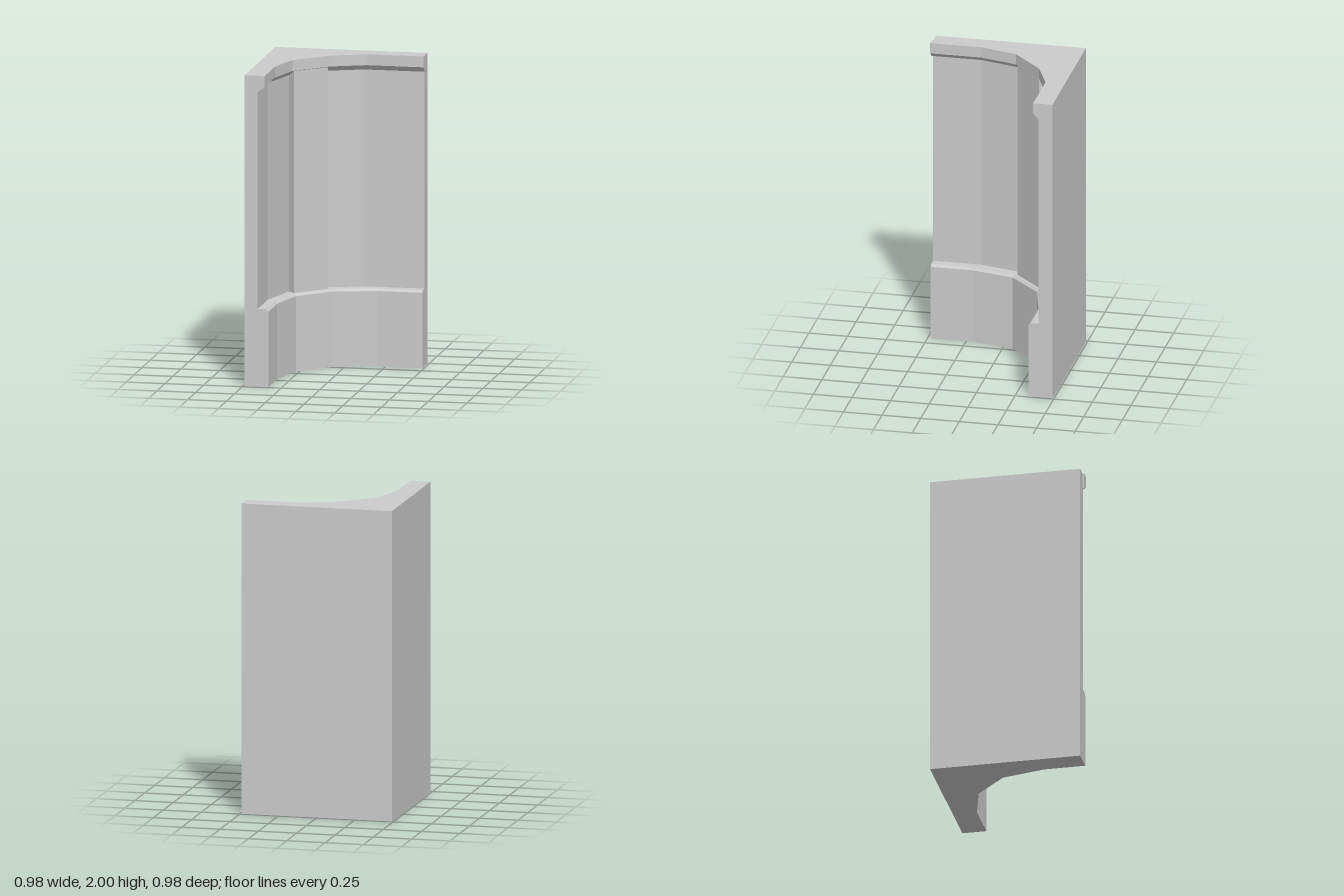
import * as THREE from 'three';

const material = new THREE.MeshStandardMaterial({ color: 0xcccccc, flatShading: true });

// Closed solid through stacked outlines: layers = [[y, [[x, z], ...]], ...] from bottom to top
function loft(name, layers) {
  const rings = layers.map(([y, pts]) => {
    const ring = pts.map(([x, z]) => new THREE.Vector2(x, -z));
    if (THREE.ShapeUtils.isClockWise(ring)) ring.reverse();
    return { y, ring };
  });
  const pos = [];
  const put = (r, i) => pos.push(r.ring[i].x, r.y, -r.ring[i].y);
  for (let k = 0; k + 1 < rings.length; k++) {
    const lo = rings[k], hi = rings[k + 1], n = lo.ring.length;
    for (let i = 0; i < n; i++) {
      const j = (i + 1) % n;
      put(lo, i); put(lo, j); put(hi, j);
      put(lo, i); put(hi, j); put(hi, i);
    }
  }
  const bottom = rings[0], top = rings[rings.length - 1];
  for (const [a, b, c] of THREE.ShapeUtils.triangulateShape(top.ring, [])) {
    put(top, a); put(top, b); put(top, c);
  }
  for (const [a, b, c] of THREE.ShapeUtils.triangulateShape(bottom.ring, [])) {
    put(bottom, c); put(bottom, b); put(bottom, a);
  }
  const geometry = new THREE.BufferGeometry();
  geometry.setAttribute('position', new THREE.Float32BufferAttribute(pos, 3));
  geometry.computeVertexNormals();
  const mesh = new THREE.Mesh(geometry, material);
  mesh.name = name;
  return mesh;
}

// Inner faces of the corner, from the right-hand end round to the front end
const baseFace = [[0.49, -0.335], [0.2, -0.335], [-0.07, -0.265], [-0.27, -0.065], [-0.335, 0.21], [-0.335, 0.48]];
const baseEdge = [[0.49, -0.35], [0.195, -0.35], [-0.08, -0.275], [-0.28, -0.075], [-0.35, 0.205], [-0.35, 0.48]];
const panelFace = [[0.49, -0.4], [0.1, -0.4], [-0.145, -0.31], [-0.33, -0.13], [-0.405, 0.17], [-0.405, 0.48]];
const capFace = [[0.49, -0.365], [0.125, -0.365], [-0.09, -0.275], [-0.295, -0.08], [-0.36, 0.16], [-0.36, 0.49]];
const capFoot = [[0.49, -0.4], [0.1, -0.4], [-0.14, -0.305], [-0.325, -0.125], [-0.405, 0.17], [-0.405, 0.49]];
const capBack = [[0.49, -0.415], [0.09, -0.415], [-0.155, -0.33], [-0.35, -0.135], [-0.415, 0.16], [-0.415, 0.49]];

// Closes an inner face against the square outside corner, or against a back line
const solid = (face) => [...face, [-0.49, 0.48], [-0.49, -0.49], [0.49, -0.49]];
const strip = (face) => [...face, ...[...capBack].reverse()];

export function createModel() {
  const group = new THREE.Group();
  group.name = 'wallCorner';

  // Plinth with a chamfered upper edge
  group.add(loft('base', [[0, solid(baseFace)], [0.485, solid(baseFace)], [0.5, solid(baseEdge)]]));

  // Recessed wall above the plinth
  group.add(loft('wallPanel', [[0.5, solid(panelFace)], [2, solid(panelFace)]]));

  // Flat pilaster across the middle of the curve
  const pilaster = [[-0.105, -0.27], [-0.29, -0.09], [-0.33, -0.13], [-0.145, -0.31]];
  group.add(loft('pilaster', [[0.495, pilaster], [1.94, pilaster]]));

  // Top moulding with a sloping underside
  group.add(loft('cornice', [[1.895, strip(capFoot)], [1.93, strip(capFace)], [2, strip(capFace)]]));

  return group;
}
